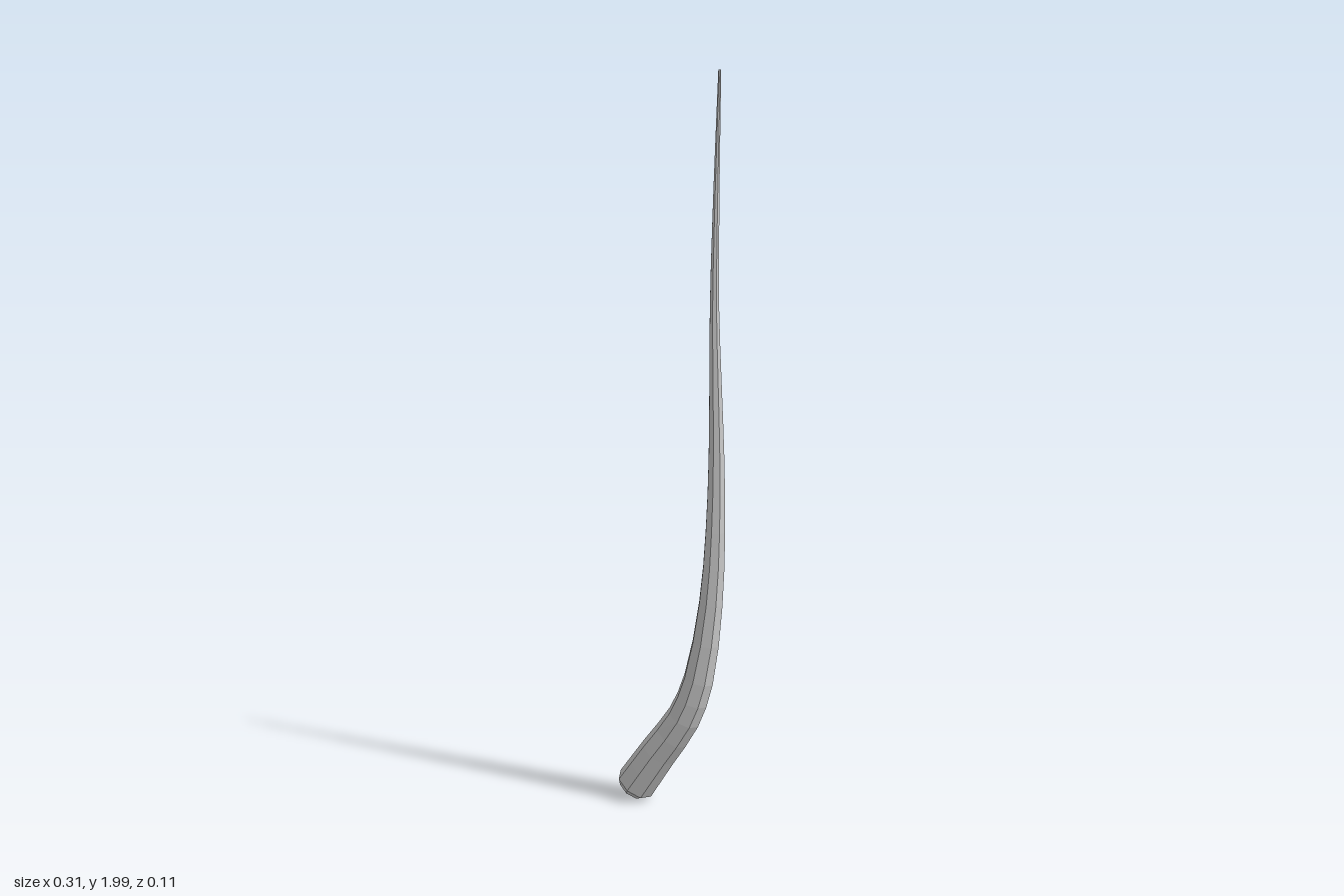
import * as THREE from 'three';

const SIDES = 8;
const SEGMENTS = 22;

// Spine of the horn: x, y and radius at each station
const STATIONS = [
  [-0.112, 0.045, 0.057], [-0.04, 0.152, 0.053], [0.036, 0.264, 0.048],
  [0.08, 0.38, 0.043], [0.115, 0.6, 0.034], [0.127, 0.8, 0.028],
  [0.129, 1.0, 0.0225], [0.125, 1.2, 0.0175], [0.121, 1.4, 0.013],
  [0.123, 1.6, 0.01], [0.127, 1.8, 0.007], [0.132, 2.0, 0.004],
];

// Joins octagonal rings; each ring is { centre, normal, radius }
function loft(rings) {
  const positions = [];
  const index = [];
  for (const { centre, normal, radius } of rings) {
    for (let j = 0; j < SIDES; j++) {
      const a = (j / SIDES) * Math.PI * 2;
      const across = radius * Math.cos(a);
      positions.push(centre.x + normal.x * across, centre.y + normal.y * across, radius * Math.sin(a));
    }
  }
  for (let i = 0; i < rings.length - 1; i++) {
    for (let j = 0; j < SIDES; j++) {
      const k = (j + 1) % SIDES;
      const a = i * SIDES + j, b = i * SIDES + k;
      const c = a + SIDES, d = b + SIDES;
      if (rings[i + 1].radius > 0) index.push(b, c, d);
      if (rings[i].radius > 0) index.push(a, c, b);
    }
  }
  const indexed = new THREE.BufferGeometry();
  indexed.setAttribute('position', new THREE.Float32BufferAttribute(positions, 3));
  indexed.setIndex(index);
  const geometry = indexed.toNonIndexed();
  geometry.computeVertexNormals();
  return geometry;
}

export function createModel() {
  const group = new THREE.Group();
  group.name = 'curvedHorn';

  // The third coordinate of the curve carries the radius
  const curve = new THREE.CatmullRomCurve3(STATIONS.map((s) => new THREE.Vector3(...s)));
  const rings = [];
  for (let i = 0; i <= SEGMENTS; i++) {
    const t = i / SEGMENTS;
    const p = curve.getPoint(t);
    const tangent = curve.getTangent(t).setZ(0).normalize();
    rings.push({
      centre: new THREE.Vector2(p.x, p.y),
      normal: new THREE.Vector2(tangent.y, -tangent.x),
      radius: p.z,
    });
  }

  // Bevelled, closed root and closed tip
  const root = rings[0];
  const tip = rings[rings.length - 1];
  const bevelCentre = root.centre.clone().add(new THREE.Vector2(root.normal.y, -root.normal.x).multiplyScalar(0.018));
  rings.unshift(
    { ...root, centre: bevelCentre, radius: 0 },
    { ...root, centre: bevelCentre, radius: 0.042 },
  );
  rings.push({ ...tip, radius: 0 });

  const material = new THREE.MeshStandardMaterial({ color: 0xcccccc, flatShading: true });
  const horn = new THREE.Mesh(loft(rings), material);
  horn.name = 'horn';
  group.add(horn);
  return group;
}
